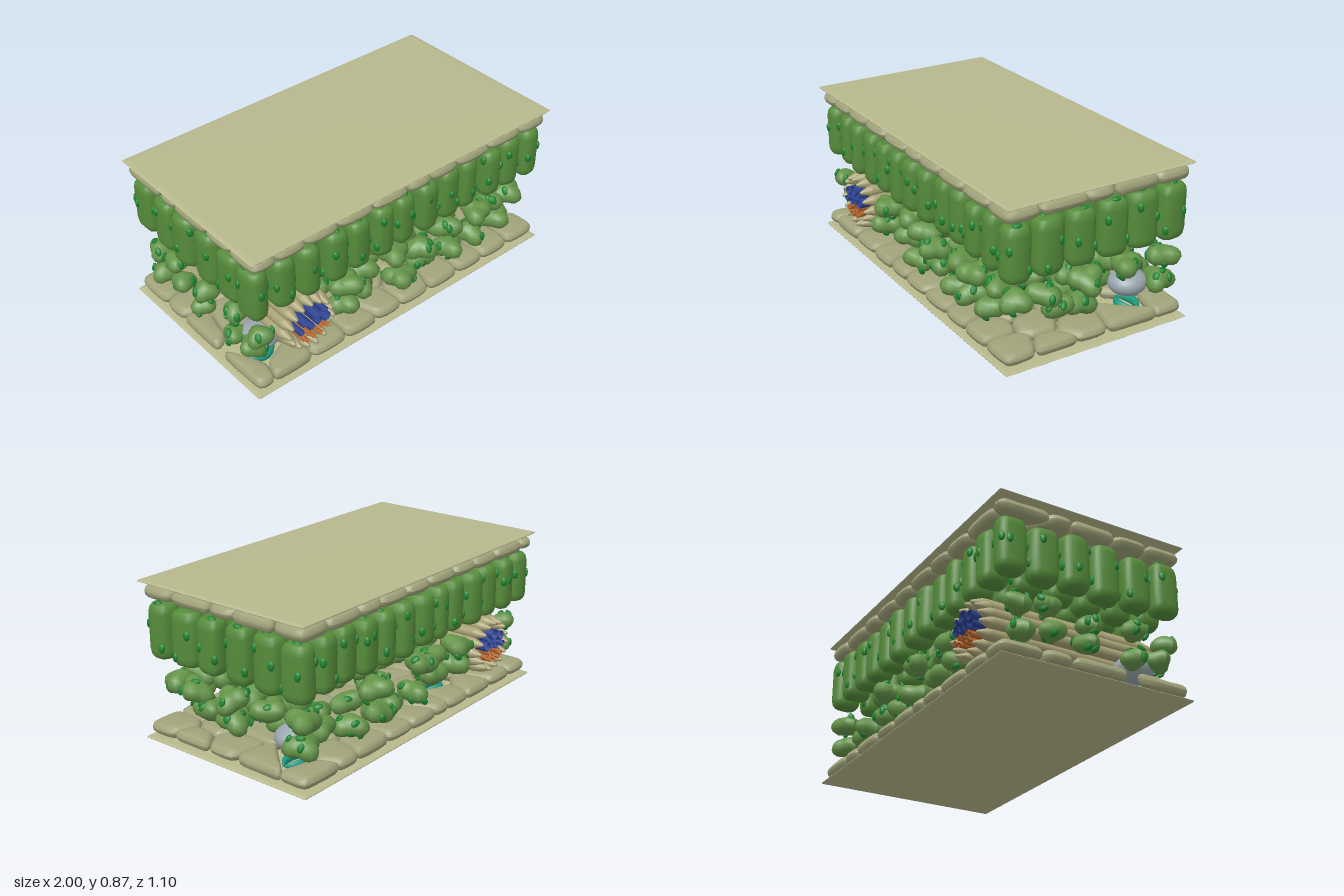
import * as THREE from 'three';
import { mergeGeometries } from 'three/addons/utils/BufferGeometryUtils.js';

const mat = (color, side = THREE.FrontSide) => new THREE.MeshStandardMaterial({ color, side });
const M = {
  cuticle: mat(0xb8b88d), epidermis: mat(0xa0a37a), palisade: mat(0x568c3b),
  spongy: mat(0x659449), chloroplast: mat(0x1f8530), sheath: mat(0xa8a175),
  xylem: mat(0x2b4190, THREE.DoubleSide), phloem: mat(0xb5652c, THREE.DoubleSide),
  guard: mat(0x1f9a82), air: mat(0x9aa5ae),
};
let seed = 7;
const rnd = () => (seed = (seed * 16807) % 2147483647) / 2147483647;
const jit = (a) => (rnd() - 0.5) * 2 * a;

function add(parent, name, geometry, material) {
  const m = new THREE.Mesh(geometry, material);
  m.name = name;
  parent.add(m);
  return m;
}
function group(parent, name) {
  const g = new THREE.Group();
  g.name = name;
  parent.add(g);
  return g;
}

// Closed pillow: an outline [x, z] (turning from +x to +z) lofted from y0 to y1 with rounded rims
function pillow(outline, y0, y1, inset, rim, dome = 0.003) {
  const n = outline.length, pos = [], idx = [];
  const cx = outline.reduce((s, p) => s + p[0], 0) / n;
  const cz = outline.reduce((s, p) => s + p[1], 0) / n;
  const lower = [0, 0.5, 1, Math.PI / 2].map((t) => [rim * (1 - Math.cos(t)), inset * (1 - Math.sin(t))]);
  const levels = [...lower.map(([h, i]) => [y0 + h, i]), ...lower.reverse().map(([h, i]) => [y1 - h, i])];
  for (const [y, i] of levels) for (const [x, z] of outline) {
    const s = Math.max(0.1, 1 - i / Math.hypot(x - cx, z - cz));
    pos.push(cx + (x - cx) * s, y, cz + (z - cz) * s);
  }
  const top = levels.length - 1, c0 = levels.length * n, c1 = c0 + 1;
  pos.push(cx, y0 - dome, cz, cx, y1 + dome, cz);
  for (let i = 0; i < n; i++) {
    const j = (i + 1) % n;
    for (let k = 0; k < top; k++) {
      const a = k * n + i, b = k * n + j;
      idx.push(a, a + n, b, b, a + n, b + n);
    }
    idx.push(c0, i, j, c1, top * n + j, top * n + i);
  }
  const g = new THREE.BufferGeometry();
  g.setAttribute('position', new THREE.Float32BufferAttribute(pos, 3));
  g.setIndex(idx);
  g.computeVertexNormals();
  return g;
}

// Keeps the part of a polygon nearer to point a than to point b
function clip(poly, a, b) {
  const f = (p) => (p[0] - (a[0] + b[0]) / 2) * (b[0] - a[0]) + (p[1] - (a[1] + b[1]) / 2) * (b[1] - a[1]);
  const out = [];
  poly.forEach((p, i) => {
    const q = poly[(i + 1) % poly.length], fp = f(p), fq = f(q);
    if (fp <= 0) out.push(p);
    if (fp * fq < 0) out.push([0, 1].map((k) => p[k] + (q[k] - p[k]) * fp / (fp - fq)));
  });
  return out;
}
// Corner cutting rounds a polygon
const soften = (poly, t) => poly.flatMap((p, i) => {
  const q = poly[(i + 1) % poly.length];
  return [t, 1 - t].map((s) => [p[0] + (q[0] - p[0]) * s, p[1] + (q[1] - p[1]) * s]);
});

// A tiled layer of skin cells; the tiles over the pores are left open
function epidermis(parent, name, y0, y1, pores) {
  const g = group(parent, name), seeds = [];
  for (let r = 0; r < 5; r++) for (let c = 0; c < 10; c++) {
    const p = [-0.9 + c * 0.2 + (r % 2 ? 0.04 : -0.04) + jit(0.045), -0.43 + r * 0.215 + jit(0.04)];
    if (pores.every((q) => Math.hypot(p[0] - q[0], p[1] - q[1]) > 0.125)) seeds.push(p);
  }
  const all = [...seeds, ...pores];
  for (const s of seeds) {
    let poly = [[0.985, 0.535], [-0.985, 0.535], [-0.985, -0.535], [0.985, -0.535]];
    for (const o of all) if (o !== s) poly = clip(poly, s, o);
    poly = soften(soften(poly, 0.15), 0.25);
    add(g, 'epidermisCell', pillow(poly, y0 + jit(0.003), y1 + jit(0.003), 0.034, 0.032), M.epidermis);
  }
}

// A small flattened body lying on a surface at p with outward direction n
const outward = new THREE.Vector3(0, 0, 1);
function chloroplast(p, n) {
  const g = new THREE.SphereGeometry(1, 7, 5);
  g.scale(0.018, 0.026, 0.012);
  g.applyQuaternion(new THREE.Quaternion().setFromUnitVectors(outward, n));
  return g.translate(p.x, p.y, p.z);
}

function palisadeLayer(parent) {
  const g = group(parent, 'palisadeLayer'), spots = [];
  for (let c = 0; c < 13; c++) for (let r = 0; r < 6; r++) {
    const x = -0.922 + c * 0.1537 + jit(0.008), z = 0.448 - r * 0.179 + jit(0.008);
    const rx = 0.063 + jit(0.004), rz = 0.078 + jit(0.005), ph = rnd() * 6;
    const y0 = 0.463 + jit(0.008), y1 = 0.75 + jit(0.008);
    const rim = (a) => {
      const k = 1 + 0.04 * Math.sin(3 * a + ph), e = (v) => Math.sign(v) * Math.abs(v) ** 0.75;
      return [x + rx * k * e(Math.cos(a)), z + rz * k * e(Math.sin(a))];
    };
    const outline = Array.from({ length: 16 }, (_, i) => rim(i / 16 * Math.PI * 2));
    add(g, 'palisadeCell', pillow(outline, y0, y1, 0.034, 0.05), M.palisade);
    for (let i = 0; i < 5; i++) {
      const a = i * 1.257 + rnd(), [px, pz] = rim(a);
      spots.push(chloroplast(new THREE.Vector3(px, y0 + 0.05 + rnd() * 0.19, THREE.MathUtils.clamp(pz, -0.525, 0.525)),
        new THREE.Vector3(Math.cos(a), 0, Math.sin(a))));
    }
    spots.push(chloroplast(new THREE.Vector3(x + jit(0.03), y1 + 0.001, z + jit(0.03)), new THREE.Vector3(0, 1, 0)));
  }
  add(g, 'palisadeChloroplasts', mergeGeometries(spots), M.chloroplast);
}

// Loose, flat-lying lobed cells in two storeys, leaving room for the vein
function spongyLayer(parent) {
  const g = group(parent, 'spongyLayer'), spots = [];
  for (const x0 of [-0.915, -0.385, -0.2, -0.01, 0.18, 0.36, 0.54, 0.72, 0.885]) for (let r = 0; r < 5; r++) for (const low of [0, 1]) {
    if (x0 > -0.9 && rnd() < 0.12) continue;
    const edge = x0 < -0.9;
    const x = Math.min(0.89, x0 + jit(edge ? 0.005 : 0.03)), z = THREE.MathUtils.clamp(-0.43 + r * 0.215 + jit(0.05), -0.45, 0.45);
    const center = new THREE.Vector3(x, (low ? 0.21 : 0.335) + jit(0.025), z);
    const turn = rnd() * 6, lobes = [0, 2.1, 4.2].map((a) =>
      new THREE.Vector3(Math.cos(a + turn + jit(0.4)), jit(0.45), Math.sin(a + turn + jit(0.4))).normalize());
    const radius = (d) => (edge ? 0.05 : 0.054) +
      (edge ? 0.026 : 0.05) * Math.max(...lobes.map((l) => Math.max(0, d.dot(l)) ** 3));
    const surface = (d) => d.clone().multiplyScalar(radius(d)).add(center);
    const geo = new THREE.SphereGeometry(1, 16, 12), p = geo.attributes.position, v = new THREE.Vector3();
    for (let i = 0; i < p.count; i++) {
      const q = surface(v.fromBufferAttribute(p, i).normalize());
      p.setXYZ(i, q.x, q.y, q.z);
    }
    geo.computeVertexNormals();
    add(g, 'spongyCell', geo, M.spongy);
    for (let i = 0; i < 4; i++) {
      const d = new THREE.Vector3(jit(1), jit(0.9), jit(1)).normalize();
      spots.push(chloroplast(surface(d), d));
    }
  }
  add(g, 'spongyChloroplasts', mergeGeometries(spots), M.chloroplast);
}

// Vein along z: a ring of sheath cells with tapered ends around open, slightly waisted vessels
function vein(parent) {
  const g = group(parent, 'vein');
  const lathe = (name, profile, x, y, material) => {
    const m = add(g, name, new THREE.LatheGeometry(profile.map((p) => new THREE.Vector2(...p)), 14), material);
    m.rotation.x = Math.PI / 2;
    m.position.set(x, y, 0);
  };
  const half = [[0.032, 0.455], [0.029, 0.475], [0.008, 0.528], [0, 0.53]];
  const sheath = [...half.map(([r, h]) => [r, -h]).reverse(), ...half];
  for (let i = 0; i < 15; i++) {
    const a = i / 15 * Math.PI * 2 + Math.PI / 2, r = 0.133 + jit(0.006);
    lathe('sheathCell', sheath, -0.642 + r * Math.cos(a), 0.281 + r * Math.sin(a), M.sheath);
  }
  const tubes = (name, list, material) => list.forEach(([x, y, r]) =>
    lathe(name, [[r, -0.535], [r * 0.82, 0], [r, 0.535]], x, y, material));
  tubes('xylemVessel', [[-0.693, 0.33, 0.026], [-0.625, 0.352, 0.03], [-0.56, 0.298, 0.027],
    [-0.717, 0.277, 0.017], [-0.653, 0.283, 0.02], [-0.565, 0.345, 0.016], [-0.61, 0.293, 0.017]], M.xylem);
  tubes('phloemTube', [[-0.7, 0.225, 0.014], [-0.672, 0.247, 0.014], [-0.625, 0.24, 0.011], [-0.588, 0.255, 0.015],
    [-0.553, 0.238, 0.013], [-0.68, 0.205, 0.01], [-0.64, 0.21, 0.011], [-0.598, 0.212, 0.013]], M.phloem);
}

// Pore: two bent guard cells with an air chamber above
function stoma(parent, [x, z]) {
  const g = group(parent, 'stoma');
  for (const s of [-1, 1]) {
    const geo = new THREE.SphereGeometry(1, 14, 10);
    geo.scale(0.085, 0.024, 0.019);
    const p = geo.attributes.position;
    for (let i = 0; i < p.count; i++) p.setZ(i, p.getZ(i) + s * (0.045 - 6 * p.getX(i) ** 2));
    geo.computeVertexNormals();
    add(g, 'guardCell', geo, M.guard).position.set(x, 0.066, z);
  }
  const chamber = add(g, 'airChamber', new THREE.SphereGeometry(1, 24, 16), M.air);
  chamber.scale.set(0.1, 0.068, 0.105);
  chamber.position.set(x, 0.19, z);
}

export function createModel() {
  const model = new THREE.Group();
  model.name = 'leafSection';
  // Thin waxy sheets with tapered edges
  const rect = soften([[1, 0.543], [-1, 0.543], [-1, -0.543], [1, -0.543]], 0.004);
  add(model, 'upperCuticle', pillow(rect, 0.854, 0.869, 0.04, 0.0075, 0.001), M.cuticle);
  add(model, 'lowerCuticle', pillow(rect, 0.002, 0.019, 0.04, 0.0085, 0.002), M.cuticle);
  const pores = [[-0.82, 0.32], [-0.36, -0.3], [0.36, 0.17], [0.8, -0.31]];
  epidermis(model, 'upperEpidermis', 0.775, 0.84, []);
  epidermis(model, 'lowerEpidermis', 0.034, 0.101, pores);
  palisadeLayer(model);
  spongyLayer(model);
  vein(model);
  pores.forEach((p) => stoma(model, p));
  return model;
}
